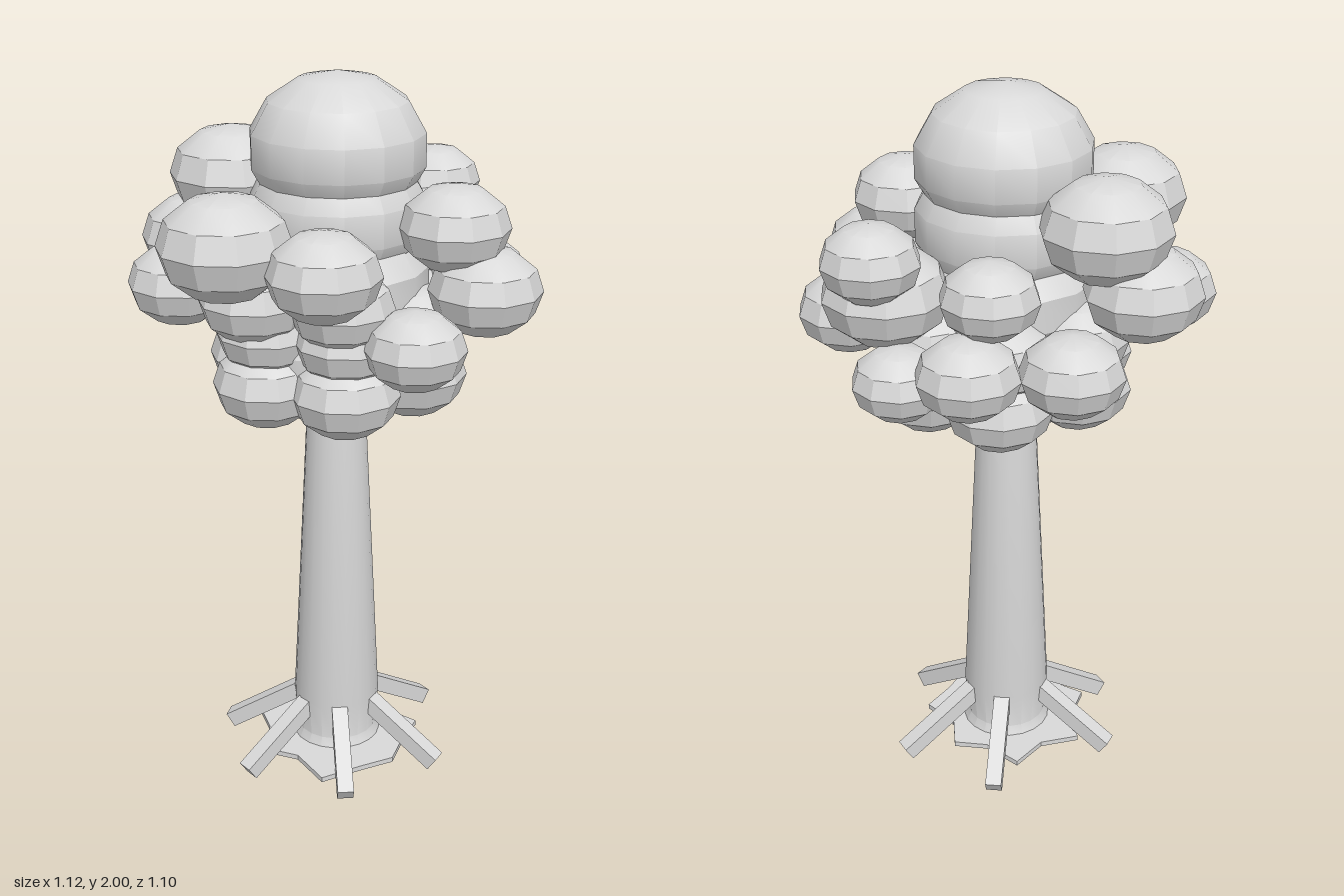
import * as THREE from 'three';
import { toCreasedNormals } from 'three/addons/utils/BufferGeometryUtils.js';

const grey = new THREE.MeshStandardMaterial({ color: 0xd8d8d8 });
grey.name = 'plain grey';

export function createModel() {
  const tree = new THREE.Group();
  tree.name = 'tree';

  const add = (name, geometry, parent = tree) => {
    const mesh = new THREE.Mesh(geometry, grey);
    mesh.name = name;
    parent.add(mesh);
    return mesh;
  };
  const group = (name) => {
    const g = new THREE.Group();
    g.name = name;
    tree.add(g);
    return g;
  };

  // Faceted, slightly flattened ball
  const ball = (name, parent, [x, y, z, r], squash = 0.79, sides = 10, rings = 6) => {
    const g = new THREE.SphereGeometry(r, sides, rings);
    g.rotateY(Math.PI / 2);
    g.scale(1, squash, 1);
    const mesh = add(name, toCreasedNormals(g, 0.524), parent);
    mesh.position.set(x, y, z);
  };

  // Inner crown, stacked up to the top
  const crown = group('crown');
  [
    ['crownTop', 0, 1.8, -0.01, 0.238, 0.84], ['crownUpper', 0, 1.63, -0.01, 0.24, 0.85],
    ['crownMiddle', 0, 1.45, 0, 0.255, 0.78], ['crownBottom', 0, 1.26, 0, 0.28, 0.75],
  ].forEach(([name, x, y, z, r, squash]) => ball(name, crown, [x, y, z, r], squash, 14, 7));

  // Outer leaf clusters: x, y, z, radius
  const clusters = group('leafClusters');
  [
    [-0.33, 1.69, -0.068, 0.172], [-0.41, 1.52, -0.01, 0.157],
    [-0.34, 1.37, -0.247, 0.136], [0.30, 1.42, -0.295, 0.136],
    [-0.14, 1.38, -0.412, 0.135], [-0.155, 1.56, -0.333, 0.128],
    [0.13, 1.63, -0.428, 0.129], [0.155, 1.51, -0.335, 0.168],
    [0.06, 1.32, -0.42, 0.124], [0.335, 1.63, 0.027, 0.146],
    [0.42, 1.47, 0.02, 0.15], [0.31, 1.37, 0.25, 0.132],
    [-0.37, 1.45, 0.19, 0.14], [-0.15, 1.62, 0.372, 0.174],
    [0.12, 1.58, 0.389, 0.146], [-0.13, 1.45, 0.25, 0.145],
    [0.11, 1.45, 0.24, 0.137],
  ].forEach((c) => ball('leafCluster', clusters, c));

  // Two rings of clusters wrapped round the lower crown
  [[1.21, 0.22, 0.25, 0.145], [1.35, 0.22, 0.24, 0.137]].forEach(([y, dx, dz, r]) => {
    for (let i = 0; i < 6; i++) {
      const a = (i / 6) * Math.PI * 2;
      ball('lowerLeafCluster', clusters, [dx * Math.cos(a), y, dz * Math.sin(a), r]);
    }
  });

  // Tapered trunk with a small flare at the ground
  const profile = [[0, 0.03], [0.135, 0.03], [0.115, 0.07], [0.124, 0.18], [0.083, 1.05], [0.075, 1.15]]
    .map(([x, y]) => new THREE.Vector2(x, y));
  add('trunk', toCreasedNormals(new THREE.LatheGeometry(profile, 20), 0.56));

  // Straight square beam between two points
  const beam = (name, parent, from, to, w) => {
    const mesh = add(name, new THREE.BoxGeometry(w, w, from.distanceTo(to)), parent);
    mesh.position.copy(from).lerp(to, 0.5);
    mesh.lookAt(to);
  };
  const polar = (r, y, a) => new THREE.Vector3(r * Math.cos(a), y, r * Math.sin(a));

  // Roots sloping to the ground (angle in degrees, reach), and branch stubs under the crown
  const roots = group('roots');
  const branches = group('branches');
  [[7, 0.328], [64, 0.325], [120, 0.328], [173, 0.328], [245, 0.335], [300, 0.34]].forEach(([deg, reach]) => {
    const a = THREE.MathUtils.degToRad(deg);
    beam('root', roots, polar(0.08, 0.182, a), polar(reach, 0.019, a), 0.046);
    beam('branchStub', branches, polar(0.06, 1.04, a + 0.3), polar(0.15, 1.13, a + 0.3), 0.03);
  });

  // Thin ragged patch of soil at the foot
  const radii = [0.21, 0.24, 0.17, 0.22, 0.18, 0.25, 0.19, 0.25, 0.2, 0.25, 0.2, 0.28, 0.23, 0.24];
  const outline = radii.map((r, i) => {
    const a = (i / radii.length) * Math.PI * 2;
    return new THREE.Vector2(r * Math.cos(a), r * Math.sin(a));
  });
  const soil = new THREE.ExtrudeGeometry(new THREE.Shape(outline), { depth: 0.015, bevelEnabled: false });
  soil.rotateX(-Math.PI / 2);
  add('soilPatch', soil).position.y = 0.03;

  return tree;
}
